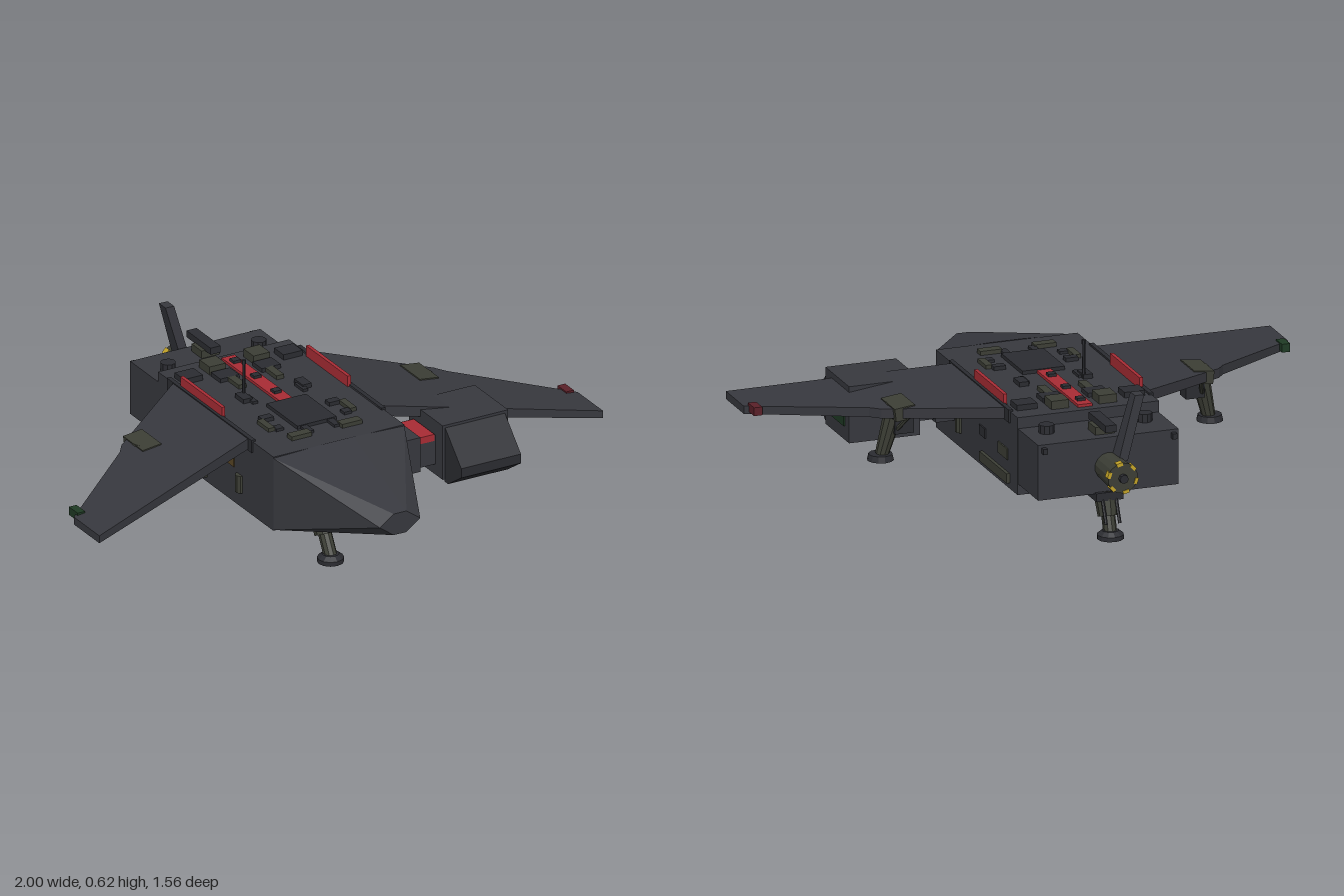
import * as THREE from 'three';
import { ConvexGeometry } from 'three/addons/geometries/ConvexGeometry.js';

const mat = (color) => new THREE.MeshStandardMaterial({ color, flatShading: true });
const HULL = mat(0x37383e), DARK = mat(0x2b2c31), OLIVE = mat(0x3c3e35), RED = mat(0xa82c34),
  YELLOW = mat(0xc4a428), GREEN = mat(0x1f3a24), MAROON = mat(0x5a2028), BROWN = mat(0x5a4624);
const V = (x, y, z) => new THREE.Vector3(x, y, z);

export function createModel() {
  const root = new THREE.Group();
  const add = (name, geo, m, parent = root) => {
    const mesh = new THREE.Mesh(geo, m);
    mesh.name = name;
    parent.add(mesh);
    return mesh;
  };
  // Box given by its limits on each axis
  const box = (name, m, x0, x1, y0, y1, z0, z1, parent) => {
    const b = add(name, new THREE.BoxGeometry(x1 - x0, y1 - y0, z1 - z0), m, parent);
    b.position.set((x0 + x1) / 2, (y0 + y1) / 2, (z0 + z1) / 2);
    return b;
  };
  // The same box on both sides
  const pair = (name, m, x0, x1, ...rest) => {
    box(name, m, x0, x1, ...rest);
    box(name, m, -x1, -x0, ...rest);
  };
  // Rod between two points
  const rod = (name, m, a, b, ra, rb = ra, sides = 10, parent = root) => {
    const d = b.clone().sub(a);
    const r = add(name, new THREE.CylinderGeometry(rb, ra, d.length(), sides), m, parent);
    r.position.copy(a).add(b).multiplyScalar(0.5);
    r.quaternion.setFromUnitVectors(V(0, 1, 0), d.normalize());
    return r;
  };

  // Fuselage and rear block
  box('fuselage', HULL, -0.26, 0.26, 0.2, 0.48, -0.43, 0.36);
  box('rearBlock', HULL, -0.258, 0.258, 0.24, 0.44, -0.625, -0.43);

  // Faceted nose: rectangular base, hexagonal tip
  const nose = [];
  for (const s of [-1, 1]) {
    nose.push(V(s * 0.06, 0.482, 0.36), V(s * 0.26, 0.475, 0.36), V(s * 0.26, 0.203, 0.36), V(s * 0.06, 0.2, 0.36),
      V(s * 0.025, 0.38, 0.78), V(s * 0.08, 0.34, 0.78), V(s * 0.025, 0.3, 0.78));
  }
  add('nose', new ConvexGeometry(nose), HULL);

  // Forward-swept wings, drooping and thinning towards the tips
  const wingTop = (x) => 0.485 - (x - 0.25) * 0.125;
  for (const s of [-1, 1]) {
    const wing = new THREE.Group();
    wing.name = s > 0 ? 'leftWing' : 'rightWing';
    root.add(wing);
    const outline = [[0.25, -0.33], [0.62, -0.06], [0.65, -0.02], [1, 0.27], [1, 0.445], [0.25, 0.19]];
    const shape = new THREE.Shape(outline.map(([x, z]) => new THREE.Vector2(s * x, -z)));
    const geo = new THREE.ExtrudeGeometry(shape, { depth: 1, bevelEnabled: false }).rotateX(-Math.PI / 2);
    const p = geo.attributes.position;
    for (let i = 0; i < p.count; i++) {
      const x = Math.abs(p.getX(i));
      p.setY(i, wingTop(x) - (1 - p.getY(i)) * (0.04 - (x - 0.25) * 0.016));
    }
    geo.computeVertexNormals();
    add('wingPanel', geo, HULL, wing);
    const side = (name, m, x0, x1, ...r) => box(name, m, Math.min(s * x0, s * x1), Math.max(s * x0, s * x1), ...r, wing);
    side('tipLight', s > 0 ? MAROON : GREEN, 0.955, 0.985, 0.372, 0.402, 0.21, 0.27);
    const pad = side('wingPad', OLIVE, 0.51, 0.585, 0.405, 0.452, -0.105, 0.03);
    pad.rotation.z = -s * 0.124;
    // Wing landing leg
    rod('wingLeg', OLIVE, V(s * 0.6, 0.26, -0.012), V(s * 0.555, 0.44, -0.03), 0.024, 0.036, 10, wing);
    rod('wingFoot', DARK, V(s * 0.605, 0.24, -0.012), V(s * 0.605, 0.262, -0.012), 0.047, 0.042, 12, wing);
    rod('wingLegBrace', OLIVE, V(s * 0.575, 0.32, -0.02), V(s * 0.535, 0.42, -0.11), 0.008, 0.008, 6, wing);
    side('wingLegMount', DARK, 0.5, 0.57, 0.34, 0.43, -0.06, 0.0);
  }

  // Side pod with wedge front and connecting arm
  const pod = [];
  for (const x of [0.395, 0.655]) {
    pod.push(V(x, 0.25, 0.16), V(x, 0.455, 0.16), V(x, 0.455, 0.39), V(x, 0.25, 0.39));
  }
  add('pod', new ConvexGeometry(pod), HULL);
  const wedge = [];
  for (const x of [0.405, 0.642]) {
    wedge.push(V(x, 0.45, 0.385), V(x, 0.24, 0.385), V(x, 0.335, 0.5), V(x, 0.3, 0.5), V(x, 0.24, 0.41));
  }
  add('podFront', new ConvexGeometry(wedge), DARK);
  box('podWindow', GREEN, 0.65, 0.66, 0.3, 0.36, 0.2, 0.34);
  box('podArm', HULL, 0.26, 0.4, 0.29, 0.4, 0.19, 0.34);
  box('podArmBase', HULL, 0.26, 0.33, 0.28, 0.41, 0.18, 0.35);
  box('podArmBand', RED, 0.335, 0.39, 0.38, 0.405, 0.2, 0.342);

  // Red roof strip and side rails
  box('roofStrip', RED, -0.026, 0.026, 0.475, 0.49, -0.4, 0.01);
  for (const z of [-0.35, -0.21, -0.07]) box('stripCap', DARK, -0.014, 0.014, 0.485, 0.5, z - 0.014, z + 0.014);
  pair('redRail', RED, 0.243, 0.256, 0.48, 0.52, -0.285, 0.0);
  pair('wingRootFairing', DARK, 0.25, 0.266, 0.44, 0.487, -0.36, 0.22);

  // Roof fittings: x0, x1, z0, z1, top
  const fittings = [[0.055, 0.12, -0.39, -0.32, 0.51], [0.16, 0.235, -0.36, -0.295, 0.5], [0.045, 0.12, -0.31, -0.245, 0.495],
    [0.06, 0.09, -0.25, -0.17, 0.495], [0.1, 0.135, -0.12, -0.06, 0.496], [0.09, 0.11, -0.1, -0.04, 0.49],
    [0.15, 0.175, 0.1, 0.18, 0.494], [0.11, 0.155, 0.075, 0.105, 0.494], [0.12, 0.15, 0.16, 0.19, 0.49],
    [0.06, 0.14, 0.245, 0.28, 0.495], [0.04, 0.065, 0.21, 0.26, 0.49]];
  fittings.forEach(([x0, x1, z0, z1, top], i) => pair('roofFitting', i % 3 ? DARK : OLIVE, x0, x1, 0.475, top, z0, z1));
  box('roofHatch', DARK, -0.078, 0.078, 0.475, 0.493, 0.0, 0.21);

  // Antenna
  rod('antenna', DARK, V(-0.105, 0.48, -0.11), V(-0.105, 0.61, -0.11), 0.006, 0.005, 6);
  rod('antennaTip', DARK, V(-0.105, 0.605, -0.11), V(-0.105, 0.62, -0.11), 0.008, 0.008, 6);

  // Tail: spine, leaning fin, caps and engine
  box('tailSpine', DARK, -0.02, 0.02, 0.465, 0.49, -0.65, -0.485);
  box('spineBase', OLIVE, -0.035, 0.035, 0.43, 0.468, -0.59, -0.52);
  const fin = [];
  for (const [x, y, z0, z1] of [[-0.03, 0.37, -0.69, -0.625], [-0.092, 0.6, -0.685, -0.64]]) {
    for (const dx of [-0.017, 0.017]) fin.push(V(x + dx, y, z0), V(x + dx, y, z1));
  }
  add('tailFin', new ConvexGeometry(fin), HULL);
  for (const s of [-1, 1]) {
    rod('rearCap', DARK, V(s * 0.18, 0.43, -0.5), V(s * 0.18, 0.47, -0.5), 0.027, 0.027, 10);
    box('rearPin', DARK, s * 0.238 - 0.008, s * 0.238 + 0.008, 0.41, 0.43, -0.645, -0.62);
  }
  rod('engine', OLIVE, V(0, 0.335, -0.62), V(0, 0.335, -0.765), 0.05, 0.055, 14);
  rod('engineNub', DARK, V(0, 0.335, -0.76), V(0, 0.335, -0.78), 0.016, 0.016, 8);
  for (let i = 0; i < 6; i++) {
    const a = i * Math.PI / 3 + 0.3;
    const mark = box('engineMark', YELLOW, -0.011, 0.011, -0.006, 0.006, -0.012, 0.012);
    mark.position.set(Math.cos(a) * 0.051, 0.335 + Math.sin(a) * 0.051, -0.756);
    mark.rotation.z = a + Math.PI / 2;
  }

  // Centre-line landing legs
  const leg = (name, top, foot, braceA, braceB) => {
    const g = new THREE.Group();
    g.name = name;
    root.add(g);
    rod('leg', OLIVE, foot.clone().add(V(0, 0.02, 0)), top, 0.024, 0.024, 10, g);
    rod('sleeve', OLIVE, foot.clone().lerp(top, 0.48), top, 0.035, 0.042, 10, g);
    rod('footPad', DARK, foot, foot.clone().add(V(0, 0.016, 0)), 0.047, 0.047, 12, g);
    rod('footTop', DARK, foot.clone().add(V(0, 0.016, 0)), foot.clone().add(V(0, 0.03, 0)), 0.047, 0.03, 12, g);
    for (const s of [-1, 1]) rod('brace', DARK, braceA.clone().setX(s * 0.025), braceB.clone().setX(s * 0.025), 0.006, 0.006, 6, g);
    box('hinge', YELLOW, -0.042, 0.042, top.y - 0.006, top.y + 0.006, top.z - 0.04, top.z + 0.04, g);
  };
  leg('frontGear', V(0, 0.18, 0.215), V(0, 0, 0.303), V(0, 0.18, 0.17), V(0, 0.085, 0.13));
  box('frontGearMount', DARK, -0.05, 0.05, 0.18, 0.205, 0.16, 0.27);
  leg('rearGear', V(0, 0.235, -0.595), V(0, 0.08, -0.643), V(0, 0.23, -0.63), V(0, 0.14, -0.67));
  box('rearGearMount', DARK, -0.05, 0.05, 0.215, 0.245, -0.64, -0.485);

  // Side panels and belly ports
  pair('amberPanel', BROWN, 0.255, 0.265, 0.335, 0.37, 0.035, 0.095);
  pair('sidePanel', OLIVE, 0.255, 0.265, 0.3, 0.34, -0.34, -0.25);
  pair('sideVent', DARK, 0.255, 0.265, 0.31, 0.345, -0.125, -0.07);
  pair('sideTube', OLIVE, 0.255, 0.272, 0.22, 0.255, -0.355, -0.09);
  for (const s of [-1, 1]) rod('sideCapsule', OLIVE, V(s * 0.255, 0.255, 0.13), V(s * 0.255, 0.32, 0.13), 0.021, 0.021, 10);
  box('bellyPlate', DARK, -0.05, 0.05, 0.19, 0.202, -0.11, 0.085);
  for (const z of [0.055, -0.012, -0.078]) box('bellyPort', OLIVE, -0.03, 0.03, 0.18, 0.2, z - 0.02, z + 0.02);

  return root;
}
